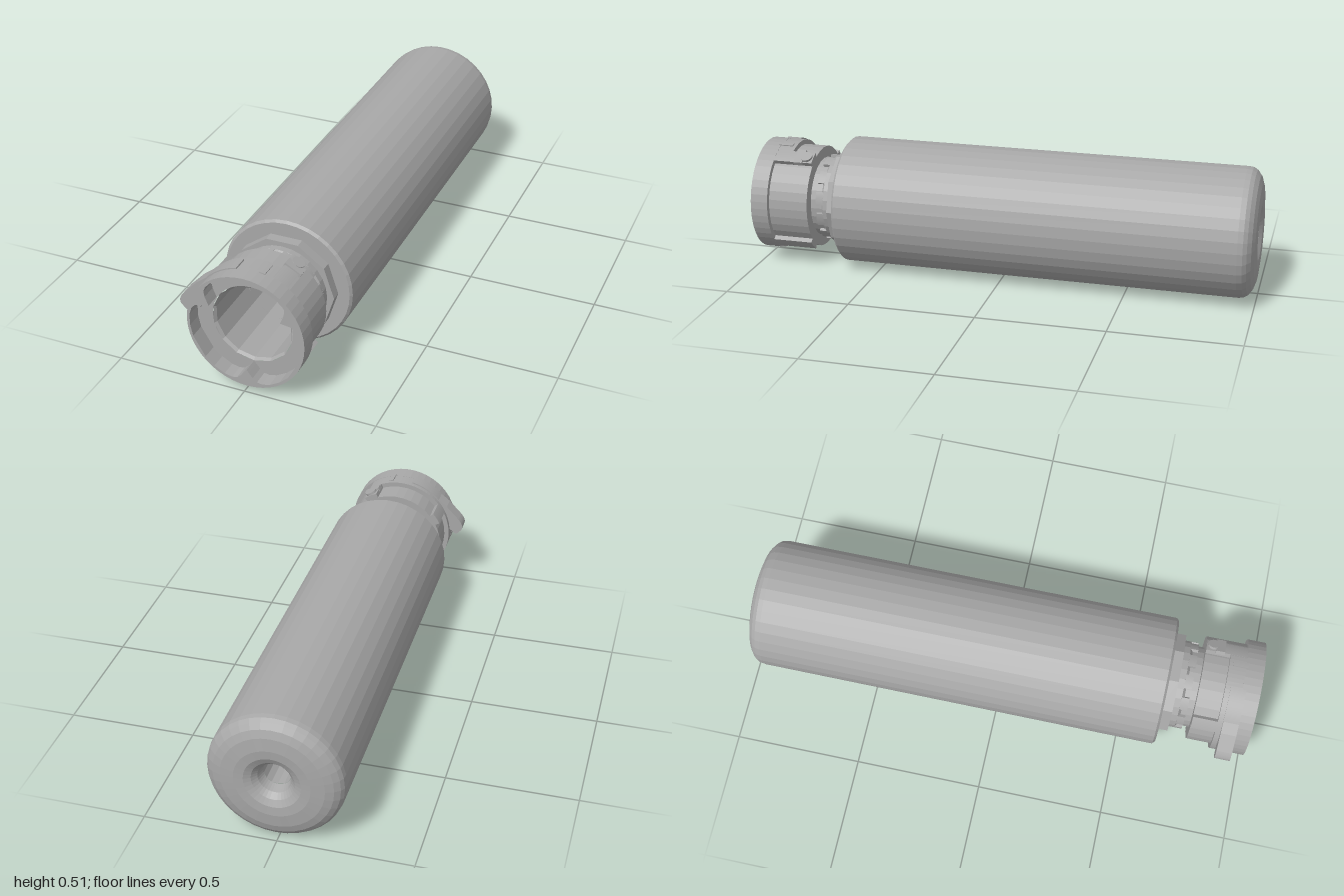
import * as THREE from 'three';

const CX = 0.012, CY = 0.255; // position of the long axis
const rad = THREE.MathUtils.degToRad;

export function createModel() {
  const group = new THREE.Group();
  const metal = new THREE.MeshStandardMaterial({ color: 0xa8a8a8 });
  metal.name = 'grey metal';

  // Adds a mesh with faceted normals
  function add(name, geometry) {
    const geo = geometry.index ? geometry.toNonIndexed() : geometry;
    geo.computeVertexNormals();
    const mesh = new THREE.Mesh(geo, metal);
    mesh.name = name;
    mesh.position.set(CX, CY, 0);
    group.add(mesh);
    return mesh;
  }

  // Turned part along z from [radius, z] pairs
  function turned(name, profile, sides, start = 0) {
    const pts = profile.map(([r, z]) => new THREE.Vector2(r, z));
    return add(name, new THREE.LatheGeometry(pts, sides, start).rotateX(Math.PI / 2));
  }

  function extruded(name, shape, z0, z1) {
    const geo = new THREE.ExtrudeGeometry(shape, { depth: z1 - z0, bevelEnabled: false, curveSegments: 24 });
    return add(name, geo.translate(0, 0, z0));
  }

  // Curved pad between two angles and two radii
  function pad(name, a0, a1, r0, r1, z0, z1) {
    const shape = new THREE.Shape();
    shape.absarc(0, 0, r1, rad(a0), rad(a1), false);
    shape.absarc(0, 0, r0, rad(a1), rad(a0), true);
    shape.closePath();
    return extruded(name, shape, z0, z1);
  }

  // Long body with rounded rear and dimpled exit hole
  turned('body', [
    [0.052, -0.93], [0.062, -0.965], [0.08, -0.985], [0.105, -0.997], [0.14, -1],
    [0.19, -0.995], [0.22, -0.985], [0.24, -0.97], [0.25, -0.955], [0.253, -0.935],
    [0.253, 0.643], [0.244, 0.652], [0.17, 0.652],
  ], 36);

  // Inner bore with a cone pointing towards the mouth
  turned('bore', [
    [0.155, 0.941], [0.147, 0.93], [0.147, 0.5], [0.085, 0.535],
    [0.063, 0.59], [0.052, 0.595], [0.052, -0.93],
  ], 14);

  // Nut and neck
  turned('nut', [[0.2, 0.64], [0.2, 0.69], [0.15, 0.69]], 10, Math.PI / 2);
  turned('neck', [[0.173, 0.68], [0.173, 0.715], [0.16, 0.725], [0.16, 0.78]], 28);
  for (let i = 0; i < 12; i++) {
    pad('neckTooth', i * 30 + 6, i * 30 + 24, 0.155, 0.172, 0.71, 0.745);
  }

  // Locking collar sleeve and its inner floor
  turned('collar', [
    [0.148, 0.77], [0.205, 0.77], [0.205, 0.93], [0.22, 0.93], [0.22, 0.94], [0.154, 0.94],
  ], 36);

  // Front rim with three pointed inward teeth
  const rim = new THREE.Shape();
  rim.absarc(0, 0, 0.225, 0, Math.PI * 2, false);
  const half = [[0, 0.157], [3, 0.168], [7, 0.187], [11, 0.203], [16, 0.211], [24, 0.215], [36, 0.215], [48, 0.215]];
  const lobes = [];
  for (const tooth of [30, 150, 270]) {
    const sides = [
      ...half.slice(1).reverse().map(([d, r]) => [-d, r]),
      ...half,
    ];
    for (const [d, r] of sides) {
      const a = rad(tooth + d);
      lobes.push(new THREE.Vector2(r * Math.cos(a), r * Math.sin(a)));
    }
  }
  rim.holes.push(new THREE.Path(lobes.reverse()));
  extruded('frontRim', rim, 0.93, 1);

  // Raised band and pillars framing the recesses
  pad('upperBand', 53, 248, 0.2, 0.224, 0.865, 0.93);
  for (const [a0, a1] of [[53, 68], [140, 153], [233, 248], [304, 320]]) {
    pad('pillar', a0, a1, 0.2, 0.224, 0.77, 0.931);
  }

  // Two opposite latches lying on the collar
  for (const angle of [60, 240]) {
    const a = rad(angle);
    const plate = add('latchPlate', new THREE.BoxGeometry(0.016, 0.07, 0.035));
    plate.position.set(CX + 0.222 * Math.cos(a), CY + 0.222 * Math.sin(a), 0.825);
    plate.rotation.z = a;
    const pin = add('latchPin', new THREE.CylinderGeometry(0.024, 0.024, 0.022, 14).rotateZ(Math.PI / 2));
    pin.position.set(CX + 0.222 * Math.cos(a), CY + 0.222 * Math.sin(a), 0.798);
    pin.rotation.z = a;
  }

  // Release lever wrapping the upper side, with a rounded thumb tab
  const lever = new THREE.Shape();
  lever.absarc(0, 0, 0.229, rad(103), rad(138), false);
  lever.lineTo(-0.208, 0.124);
  lever.lineTo(-0.262, 0.068);
  lever.quadraticCurveTo(-0.294, 0.03, -0.268, 0.01);
  lever.quadraticCurveTo(-0.254, -0.01, -0.244, 0.001);
  lever.lineTo(-0.214, 0.024);
  lever.absarc(0, 0, 0.2, rad(174), rad(103), true);
  lever.closePath();
  extruded('releaseLever', lever, 0.885, 0.945);

  // Small index key on the band
  pad('indexKey', 76, 81, 0.22, 0.228, 0.88, 0.94);

  return group;
}
